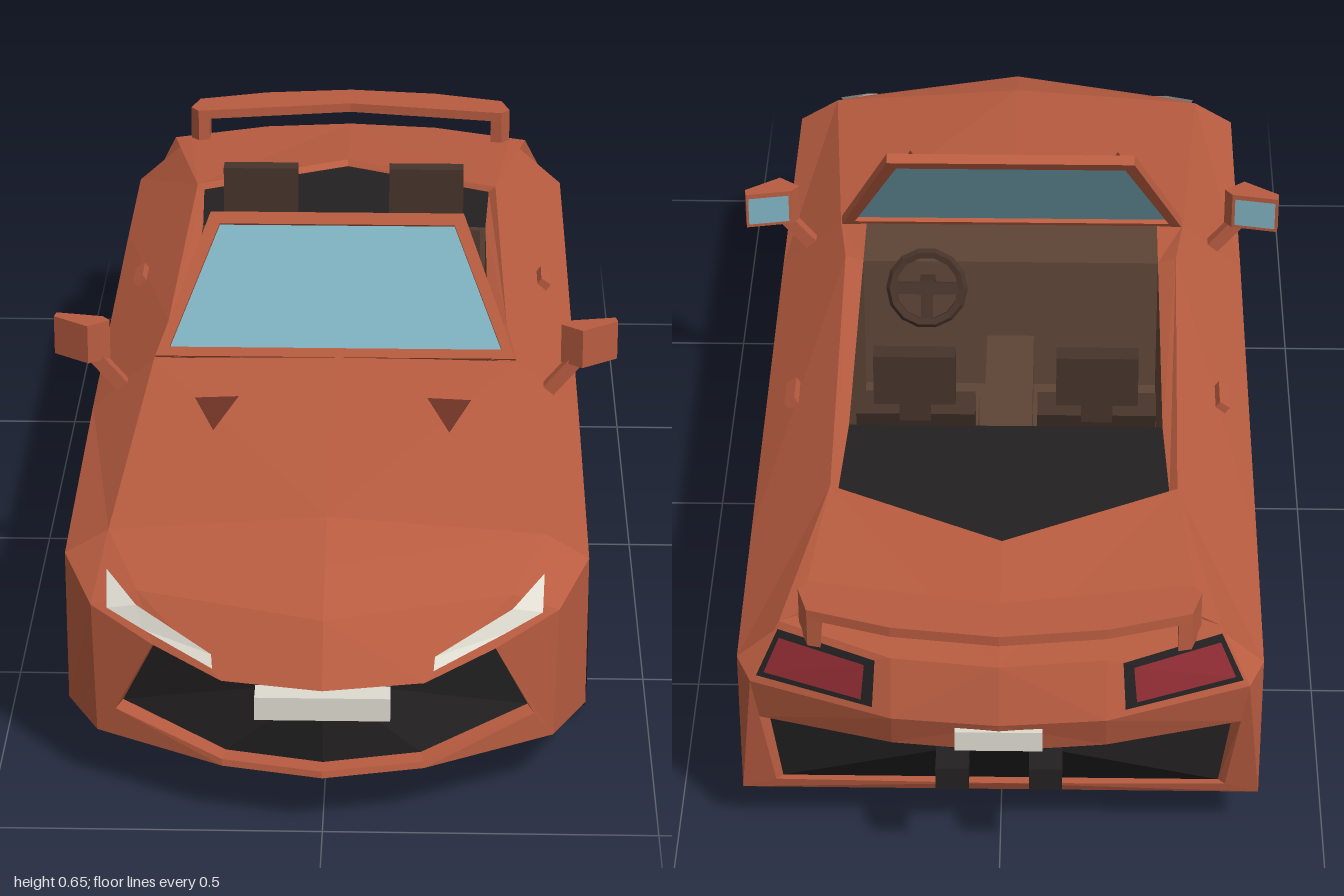
import * as THREE from 'three';

const mat = (color) => new THREE.MeshStandardMaterial({ color, flatShading: true, side: THREE.DoubleSide });
const PAINT = mat(0xb85c40), BLACK = mat(0x222020), TYRE = mat(0x1c1c1c), BROWN = mat(0x5e4536), DARK = mat(0x46332a),
  GLASS = mat(0x7fb2c1), LAMP = mat(0xdedbd0), RIM = mat(0xcccccc), RED = mat(0x8c2b32), VENT = mat(0x6e3224);

function add(parent, name, geometry, material, x = 0, y = 0, z = 0) {
  const m = new THREE.Mesh(geometry, material);
  m.name = name;
  m.position.set(x, y, z);
  parent.add(m);
  return m;
}

// Flat panels from lists of corner points, each fanned from its first corner
function panels(parent, name, material, polys) {
  const pos = [];
  for (const p of polys)
    for (let i = 1; i < p.length - 1; i++) pos.push(...p[0], ...p[i], ...p[i + 1]);
  const g = new THREE.BufferGeometry();
  g.setAttribute('position', new THREE.Float32BufferAttribute(pos, 3));
  g.computeVertexNormals();
  return add(parent, name, g, material);
}

const box = (parent, name, material, w, h, d, x, y, z) =>
  add(parent, name, new THREE.BoxGeometry(w, h, d), material, x, y, z);
const shapeOf = (pts) => new THREE.Shape(pts.map(([a, b]) => new THREE.Vector2(a, b)));

// Upright prism from an outline in plan (x, z)
function slab(parent, name, material, plan, y, h) {
  const g = new THREE.ExtrudeGeometry(shapeOf(plan.map(([x, z]) => [x, -z])), { depth: h, bevelEnabled: false });
  g.rotateX(-Math.PI / 2);
  return add(parent, name, g, material, 0, y, 0);
}

// Quads joining two point rows
const strip = (a, b) => a.slice(1).map((p, i) => [a[i], p, b[i + 1], b[i]]);

// Rectangle inside a four-cornered patch, lifted by an offset
function inset(q, u0, u1, v0, v1, off) {
  const [a, b, c, d] = q.map((p) => new THREE.Vector3(...p));
  const at = (u, v) => a.clone().lerp(b, u).lerp(d.clone().lerp(c, u), v).add(off).toArray();
  return [at(u0, v0), at(u1, v0), at(u1, v1), at(u0, v1)];
}

const SIDE = 0.397, SILL = 0.09, WELL = 0.27, WHEEL_Y = 0.153, AXLES = [0.555, -0.575];
const arch = (zc) => {
  const r = 0.16, a0 = -Math.asin((WHEEL_Y - SILL) / r), pts = [];
  for (let i = 0; i <= 10; i++) {
    const a = a0 + (Math.PI - 2 * a0) * i / 10;
    pts.push([zc + r * Math.cos(a), WHEEL_Y + r * Math.sin(a)]);
  }
  return pts;
};

function bodyHalf() {
  const g = new THREE.Group();
  g.name = 'bodyHalf';
  // Nose and hood corners
  const H0 = [0, 0.4, 0.75], P0 = [0, 0.368, 0.855], P1 = [0.28, 0.325, 0.855], P2 = [0.33, 0.375, 0.75];
  const N0 = [0, 0.32, 0.94], G0 = [0, 0.235, 1], G1 = [0.15, 0.232, 0.965], G2 = [0.255, 0.26, 0.905];
  const C = [0.35, 0.3, 0.855], S = [SIDE, 0.335, 0.75], S1 = [SIDE, 0.35, 0.23], S2 = [SIDE, 0.35, -0.27];
  const K0 = [0, 0.1, 0.998], K1 = [0.15, 0.1, 0.963], K2 = [0.315, 0.135, 0.872];
  const B0 = [0, SILL, 1], B1 = [0.15, SILL, 0.965], B2 = [0.345, SILL, 0.855], B3 = [SIDE, SILL, 0.75];
  const W0 = [0, 0.443, 0.23], E0 = [0.295, 0.437, 0.23];
  panels(g, 'hood', PAINT, [[H0, P2, E0, W0], [P0, P1, P2, H0]]);
  panels(g, 'nose', PAINT, [[P0, N0, P1], [N0, G0, G1], [N0, G1, P1], [P1, G1, G2], [P1, G2, C], [P2, P1, C, S],
    [C, B2, B3, S], [G2, K2, B2, C], [K2, K1, B1, B2], [K1, K0, B0, B1]]);
  const rim = [G0, G1, G2, K2, K1, K0];
  const back = rim.map(([x, y, z]) => [x * 0.97, y, z - 0.03]);
  panels(g, 'grilleReveal', PAINT, strip(rim, back));
  panels(g, 'grille', BLACK, [back]);
  panels(g, 'headlight', LAMP, strip(
    [[0.165, 0.268, 0.95], [0.28, 0.314, 0.882], [0.328, 0.342, 0.818]],
    [[0.163, 0.252, 0.965], [0.27, 0.283, 0.9], [0.325, 0.303, 0.87]]));
  panels(g, 'hoodVent', VENT, [[[0.15, 0.436, 0.38], [0.22, 0.433, 0.38], [0.185, 0.425, 0.49]]]);

  // Shoulders, cockpit rim and rear deck
  const E1 = [0.28, 0.45, 0.1], E2 = [0.27, 0.447, -0.56], D1 = [0.3, 0.43, -0.86], S3 = [SIDE, 0.345, -0.86];
  panels(g, 'shoulder', PAINT, strip([P2, E0, E1, E2, D1], [S, S1, [SIDE, 0.35, 0.1], [SIDE, 0.35, -0.56], S3]));
  const O0 = [0.25, 0.44, 0.23], O1 = [0.25, 0.44, 0.1], O2 = [0.25, 0.437, -0.38], O3 = [0.258, 0.437, -0.56];
  panels(g, 'cockpitRim', PAINT, [[E0, E1, O1, O0], [E1, E2, O3, O2, O1]]);
  const V = [0, 0.447, -0.7], V1 = [0, 0.437, -0.69];
  panels(g, 'rearCover', BLACK, [[O2, O3, V1, [0, 0.437, -0.38]]]);
  const R0 = [0, 0.42, -0.975], R1 = [0.16, 0.42, -0.955], R2 = [0.33, 0.425, -0.875];
  panels(g, 'rearDeck', PAINT, [[E2, V, R0, R1, R2, D1], [E2, O3, V1, V]]);

  // Tail
  const M0 = [0, 0.33, -1], M1 = [0.16, 0.33, -0.985], M2 = [0.375, 0.33, -0.9];
  const L0 = [0, 0.27, -0.985], L1 = [0.16, 0.268, -0.965], L2 = [0.365, 0.25, -0.885];
  const Q0 = [0, 0.11, -0.87], Q1 = [0.345, 0.11, -0.865], F0 = [0, SILL, -0.86], F1 = [SIDE, SILL, -0.86];
  panels(g, 'tail', PAINT, [[R0, R1, M1, M0], [R1, R2, M2, M1], [D1, R2, M2, S3], [M0, M1, L1, L0],
    [M1, M2, L2, L1], [M2, S3, F1, Q1, L2], [Q0, Q1, F1, F0]]);
  const LB = [L0, L1, L2, Q1, Q0].map(([x, y, z]) => [x * 0.97, y, Math.min(z + 0.025, -0.855)]);
  panels(g, 'rearReveal', PAINT, strip([L0, L1, L2, Q1, Q0], LB));
  panels(g, 'diffuser', BLACK, [LB]);
  const lampPatch = [R1, R2, M2, M1];
  panels(g, 'taillightSurround', BLACK, [inset(lampPatch, 0.12, 0.97, 0.08, 0.85, new THREE.Vector3(0.003, 0, -0.005))]);
  panels(g, 'taillight', RED, [inset(lampPatch, 0.19, 0.92, 0.17, 0.74, new THREE.Vector3(0.006, 0, -0.009))]);
  box(g, 'exhaust', BLACK, 0.05, 0.04, 0.06, 0.07, 0.215, -0.955);
  slab(g, 'spoiler', PAINT, [[0, -0.905], [0.285, -0.855], [0.3, -0.875], [0.285, -0.925], [0.16, -0.965], [0, -0.985]], 0.468, 0.017);
  slab(g, 'spoilerSupport', PAINT, [[0.265, -0.86], [0.285, -0.855], [0.3, -0.875], [0.285, -0.92], [0.265, -0.925]], 0.415, 0.055);

  // Side wall with wheel arches and a sculpted door recess
  const door = [[0.25, 0.343], [-0.27, 0.32], [-0.27, 0.17], [0.1, 0.1]];
  const wall = shapeOf([[0.75, SILL], ...arch(AXLES[0]), ...arch(AXLES[1]), [-0.86, SILL], [-0.86, 0.345],
    [-0.56, 0.35], [0.23, 0.35], [0.75, 0.335]]);
  wall.holes.push(shapeOf(door));
  const wg = new THREE.ShapeGeometry(wall);
  wg.rotateY(-Math.PI / 2);
  add(g, 'sideWall', wg, PAINT, SIDE, 0, 0);
  const [d0, d1, d2, d3] = door.map(([z, y]) => [SIDE, y, z]);
  const i1 = [SIDE - 0.025, 0.31, -0.27], i2 = [SIDE - 0.025, 0.18, -0.27];
  panels(g, 'doorRecess', PAINT, [[d0, i1, i2, d3], [d0, d1, i1], [d1, d2, i2, i1], [d2, d3, i2]]);
  const handle = box(g, 'doorHandle', PAINT, 0.02, 0.014, 0.06, 0.35, 0.398, -0.237);
  handle.rotation.z = -0.6;

  // Wheel wells and floor
  for (const zc of AXLES) {
    const a = arch(zc), inner = a.map(([z, y]) => [WELL, y, z]);
    panels(g, 'wheelWell', PAINT, [...strip(a.map(([z, y]) => [SIDE, y, z]), inner), inner]);
  }
  const plan = [B0, B1, B2, B3].map((p) => [p[0], p[2]]);
  for (const zc of AXLES) {
    const a = arch(zc), z0 = a[0][0], z1 = a[10][0];
    plan.push([SIDE, z0], [WELL, z0], [WELL, z1], [SIDE, z1]);
  }
  const fg = new THREE.ShapeGeometry(shapeOf([...plan, [SIDE, -0.86], [0, -0.86]]));
  fg.rotateX(Math.PI / 2);
  add(g, 'underside', fg, PAINT, 0, SILL, 0);

  // Cockpit lining, dashboard and seat
  const f = 0.19, T0 = [0.25, f, 0.1], T1 = [0.25, f, -0.38];
  panels(g, 'cockpitLining', BROWN, [[O1, O2, T1, T0], [T0, T1, [0, f, -0.38], [0, f, 0.1]],
    [O2, [0, 0.437, -0.38], [0, f, -0.38], T1], [O1, [0, 0.44, 0.1], [0, f, 0.1], T0], [O0, O1, [0, 0.44, 0.1], [0, 0.44, 0.23]]]);
  box(g, 'seatCushion', BROWN, 0.19, 0.09, 0.19, 0.145, 0.235, -0.16);
  const seatBack = box(g, 'seatBack', DARK, 0.19, 0.22, 0.045, 0.145, 0.345, -0.295);
  seatBack.rotation.x = -0.35;
  box(g, 'headrestPost', DARK, 0.05, 0.05, 0.015, 0.145, 0.455, -0.35);
  box(g, 'headrest', DARK, 0.13, 0.09, 0.032, 0.145, 0.515, -0.353);

  // Door mirror
  slab(g, 'doorMirror', PAINT, [[0.366, 0.235], [0.4, 0.262], [0.458, 0.22], [0.455, 0.203], [0.378, 0.218]], 0.44, 0.065);
  panels(g, 'mirrorGlass', GLASS, [[[0.383, 0.447, 0.214], [0.451, 0.447, 0.201], [0.451, 0.498, 0.201], [0.383, 0.498, 0.214]]]);
  const arm = box(g, 'mirrorArm', PAINT, 0.022, 0.09, 0.02, 0.367, 0.416, 0.235);
  arm.rotation.z = -0.7;
  return g;
}

// Tyre ring with ridged, fan-shaped spokes; the outer face points to +x
function wheel() {
  const g = new THREE.Group();
  g.name = 'wheel';
  const prof = [[0.128, -0.053], [0.153, -0.053], [0.153, 0.053], [0.128, 0.053], [0.128, -0.053]];
  const tyre = new THREE.LatheGeometry(prof.map(([r, y]) => new THREE.Vector2(r, y)), 10, Math.PI / 2);
  tyre.rotateZ(Math.PI / 2);
  add(g, 'tyre', tyre, TYRE);
  const polys = [], at = (r, a, x) => [x, r * Math.cos(a), r * Math.sin(a)];
  for (let i = 0; i < 7; i++) {
    const a = i * Math.PI * 2 / 7, hub = at(0.008, a, 0.04), mid = at(0.129, a, 0.05);
    polys.push([hub, at(0.129, a - 0.29, 0.03), mid], [hub, mid, at(0.129, a + 0.29, 0.03)]);
  }
  panels(g, 'spokes', RIM, polys);
  const hub = add(g, 'hub', new THREE.CylinderGeometry(0.02, 0.02, 0.03, 10), RIM, 0.032, 0, 0);
  hub.rotation.z = Math.PI / 2;
  return g;
}

export function createModel() {
  const car = new THREE.Group();
  car.name = 'convertible';
  for (const s of [1, -1]) {
    const half = bodyHalf();
    half.scale.x = s;
    car.add(half);
    for (const z of AXLES) {
      const w = wheel();
      w.position.set(s * 0.348, WHEEL_Y, z);
      w.rotation.y = s > 0 ? 0 : Math.PI;
      car.add(w);
    }
  }
  // Windscreen
  const screen = new THREE.Group();
  screen.name = 'windscreen';
  const pane = [[-0.27, 0.015], [0.27, 0.015], [0.192, 0.22], [-0.192, 0.22]];
  const frame = shapeOf([[-0.293, 0], [0.293, 0], [0.207, 0.24], [-0.207, 0.24]]);
  frame.holes.push(shapeOf(pane));
  add(screen, 'windscreenFrame', new THREE.ExtrudeGeometry(frame, { depth: 0.018, bevelEnabled: false }), PAINT);
  add(screen, 'windscreenGlass', new THREE.ShapeGeometry(shapeOf(pane)), GLASS, 0, 0, 0.008);
  screen.position.set(0, 0.435, 0.222);
  screen.rotation.x = -0.565;
  car.add(screen);
  // Centre fittings
  box(car, 'centreTunnel', BROWN, 0.08, 0.1, 0.48, 0, 0.24, -0.14);
  box(car, 'frontPlate', LAMP, 0.2, 0.037, 0.04, 0, 0.202, 0.975);
  box(car, 'rearPlate', LAMP, 0.13, 0.035, 0.012, 0, 0.3, -0.994);
  // Steering wheel
  const steer = new THREE.Group();
  steer.name = 'steeringWheel';
  add(steer, 'steeringRim', new THREE.TorusGeometry(0.06, 0.009, 5, 14), DARK);
  box(steer, 'steeringSpoke', DARK, 0.11, 0.02, 0.01, 0, 0, 0);
  box(steer, 'steeringSpoke', DARK, 0.02, 0.06, 0.01, 0, -0.03, 0);
  box(steer, 'steeringColumn', DARK, 0.025, 0.025, 0.08, 0, 0, 0.04);
  steer.position.set(0.14, 0.425, 0.04);
  steer.rotation.x = 0.4;
  car.add(steer);
  return car;
}
